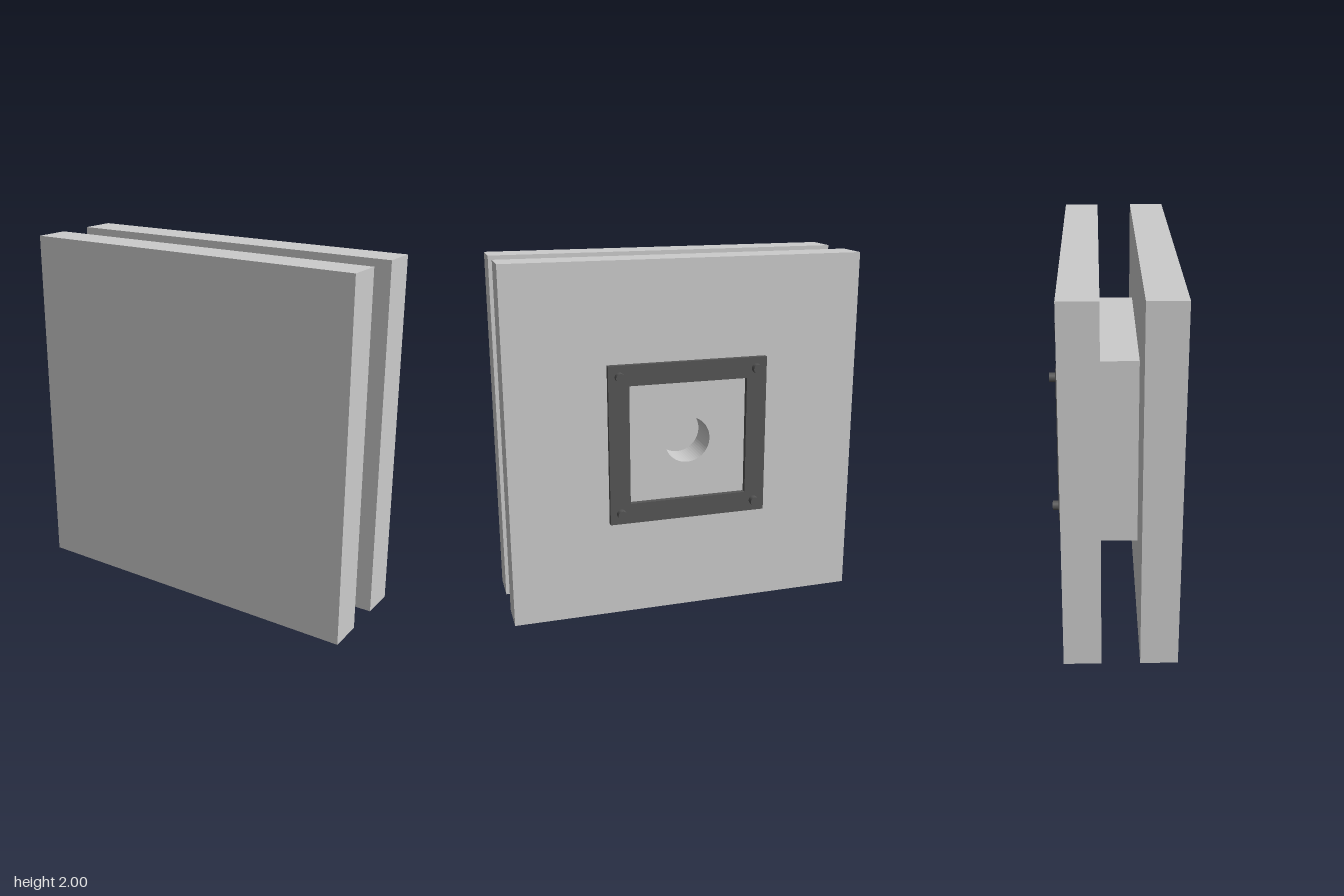
import * as THREE from 'three';

const grey = new THREE.MeshStandardMaterial({ color: 0xcccccc });
const dark = new THREE.MeshStandardMaterial({ color: 0x555555 });
const CENTRE_Y = 1;

function square(half, Type = THREE.Shape) {
  return new Type([
    new THREE.Vector2(-half, -half), new THREE.Vector2(half, -half),
    new THREE.Vector2(half, half), new THREE.Vector2(-half, half),
  ]);
}

export function createModel() {
  const model = new THREE.Group();

  const add = (name, geometry, material, x, y, z) => {
    const mesh = new THREE.Mesh(geometry, material);
    mesh.name = name;
    mesh.position.set(x, y, z);
    model.add(mesh);
    return mesh;
  };

  // Square slab with an opening, extruded forward from z
  const pierced = (name, half, hole, depth, z, material) => {
    const shape = square(half);
    shape.holes.push(hole);
    const geometry = new THREE.ExtrudeGeometry(shape, { depth, bevelEnabled: false, curveSegments: 32 });
    return add(name, geometry, material, 0, CENTRE_Y, z);
  };

  // Solid front plate and the smaller block joining it to the back plate
  add('frontPlate', new THREE.BoxGeometry(2, 2, 0.2), grey, 0, CENTRE_Y, 0.235);
  add('coreBlock', new THREE.BoxGeometry(1.066, 1.066, 0.205), grey, 0, CENTRE_Y, 0.0325);

  // Back plate with a round bore through to the core
  const bore = new THREE.Path().absarc(0, 0, 0.13, 0, Math.PI * 2, true);
  pierced('backPlate', 1, bore, 0.2, -0.27, grey);

  // Thin square frame on the back
  pierced('mountingFrame', 0.45, square(0.335, THREE.Path), 0.03, -0.3, dark);

  // Bolt at each frame corner
  const boltGeometry = new THREE.CylinderGeometry(0.026, 0.026, 0.05, 24).rotateX(Math.PI / 2);
  for (const x of [-0.388, 0.388]) {
    for (const y of [-0.388, 0.388]) add('frameBolt', boltGeometry, dark, x, CENTRE_Y + y, -0.31);
  }

  return model;
}
